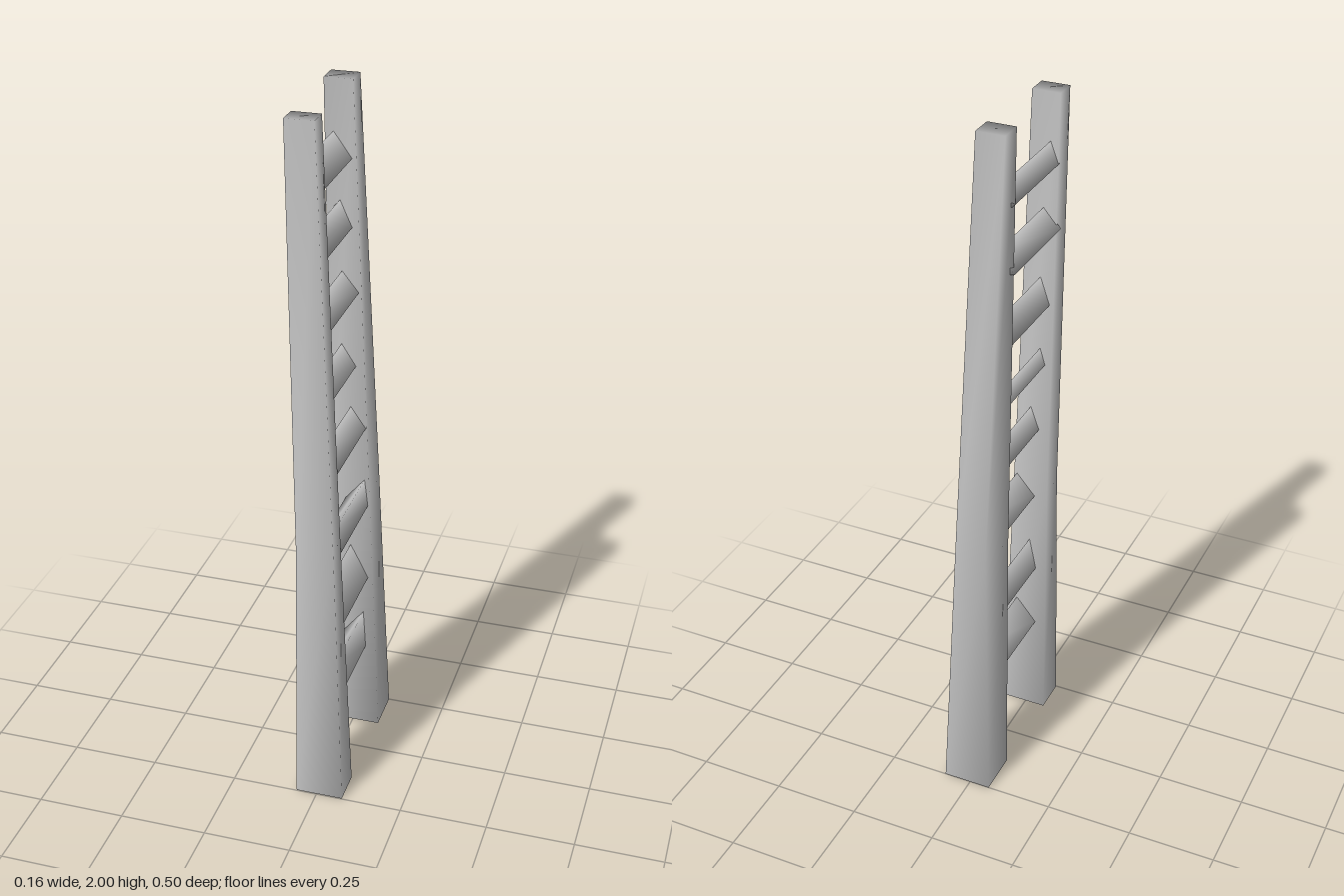
import * as THREE from 'three';

// Closed skin through rings of corners, each corner [x, y, z], with end caps and smooth normals.
// Rings run counter-clockwise when seen from the last ring.
function loft(rings) {
  const n = rings[0].length, last = (rings.length - 1) * n, index = [];
  for (let r = 0; r < rings.length - 1; r++) {
    for (let i = 0; i < n; i++) {
      const a = r * n + i, b = r * n + (i + 1) % n;
      index.push(a, b, b + n, a, b + n, a + n);
    }
  }
  for (let i = 1; i < n - 1; i++) {
    index.push(0, i + 1, i, last, last + i, last + i + 1);
  }
  const geometry = new THREE.BufferGeometry();
  geometry.setAttribute('position', new THREE.Float32BufferAttribute(rings.flat(2), 3));
  geometry.setIndex(index);
  geometry.computeVertexNormals();
  return geometry;
}

// Four-cornered rail section at height y: corners go front left, front right, back right, back left in plan
const section = (y, corners) => corners.map(([x, z]) => [x, y, z]);

export function createModel() {
  const group = new THREE.Group();
  const material = new THREE.MeshStandardMaterial({ color: 0xcccccc });
  const add = (name, geometry) => {
    const mesh = new THREE.Mesh(geometry, material);
    mesh.name = name;
    group.add(mesh);
  };

  // Uprights: hand-hewn tapered posts, thicker at the foot
  add('frontRail', loft([
    section(0, [[-0.06, 0.248], [0.076, 0.248], [0.076, 0.148], [-0.06, 0.148]]),
    section(0.8, [[-0.063, 0.216], [0.042, 0.216], [0.04, 0.143], [-0.063, 0.145]]),
    section(1.99, [[-0.08, 0.215], [-0.002, 0.215], [-0.002, 0.155], [-0.08, 0.155]]),
  ]));
  add('backRail', loft([
    section(0, [[-0.06, -0.123], [0.08, -0.123], [0.08, -0.25], [-0.06, -0.25]]),
    section(0.8, [[-0.065, -0.125], [0.044, -0.13], [0.048, -0.222], [-0.042, -0.222]]),
    section(2, [[-0.08, -0.11], [-0.002, -0.11], [-0.002, -0.175], [-0.08, -0.175]]),
  ]));

  // Rungs: rough split wood; each row lists its section corners [x, y] counter-clockwise from the ridge
  const rungs = [
    [[0.03, 0.395], [-0.03, 0.32], [0.02, 0.26], [0.038, 0.275]],
    [[-0.01, 0.62], [-0.03, 0.52], [0.043, 0.515]],
    [[0.03, 0.84], [-0.025, 0.775], [0.04, 0.755]],
    [[-0.01, 1.07], [-0.035, 1.0], [0.033, 1.005]],
    [[-0.035, 1.26], [-0.05, 1.21], [-0.03, 1.19], [0.005, 1.195]],
    [[-0.033, 1.475], [-0.06, 1.395], [0.013, 1.415]],
    [[-0.038, 1.675], [-0.085, 1.62], [-0.005, 1.6]],
    [[-0.055, 1.86], [-0.078, 1.8], [-0.005, 1.79]],
  ];
  rungs.forEach((corners, i) => {
    add(`rung${i + 1}`, loft([-0.13, 0.16].map(z => corners.map(([x, y]) => [x, y, z]))));
  });

  return group;
}
